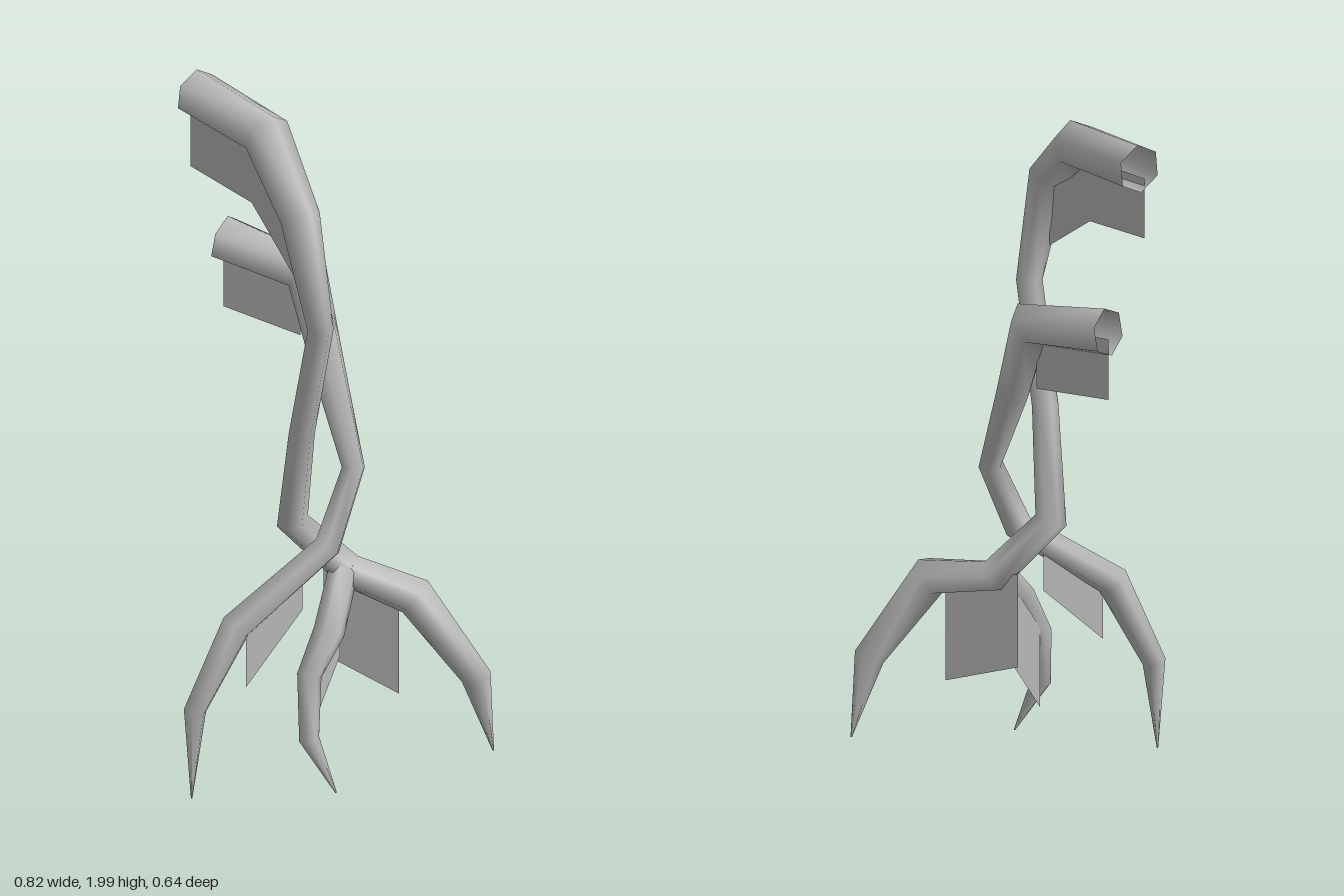
import * as THREE from 'three';

const bark = new THREE.MeshStandardMaterial({ color: 0xb8b8b8, side: THREE.DoubleSide });
bark.name = 'grey bark';

const SIDES = 6;

// Tapered six-sided tube through rows of [x, y, z, radius], open at its ends
function limb(name, rows) {
  const pts = rows.map(r => new THREE.Vector3(r[0], r[1], r[2]));
  const pos = [], index = [];
  const normal = new THREE.Vector3(0, 1, 0);
  const last = new THREE.Vector3();
  pts.forEach((p, i) => {
    const into = i > 0 ? p.clone().sub(pts[i - 1]).normalize() : new THREE.Vector3();
    const out = i < pts.length - 1 ? pts[i + 1].clone().sub(p).normalize() : new THREE.Vector3();
    const tangent = into.add(out).normalize();
    // carry the ring's frame along the path without twist
    if (i > 0) normal.applyQuaternion(new THREE.Quaternion().setFromUnitVectors(last, tangent));
    normal.addScaledVector(tangent, -normal.dot(tangent)).normalize();
    last.copy(tangent);
    const side = tangent.clone().cross(normal);
    for (let k = 0; k < SIDES; k++) {
      const a = (k / SIDES) * Math.PI * 2;
      const v = p.clone()
        .addScaledVector(normal, Math.cos(a) * rows[i][3])
        .addScaledVector(side, Math.sin(a) * rows[i][3]);
      pos.push(v.x, v.y, v.z);
      if (i < pts.length - 1) {
        const b = i * SIDES + k, c = i * SIDES + (k + 1) % SIDES;
        index.push(b, c, b + SIDES, c, c + SIDES, b + SIDES);
      }
    }
  });
  return surface(name, pos, index);
}

// Thin sheet between rows of [x, z, bottomY, topY]
function sheet(name, rows) {
  const pos = [], index = [];
  rows.forEach(([x, z, low, high], i) => {
    pos.push(x, low, z, x, high, z);
    const b = i * 2;
    if (i < rows.length - 1) index.push(b, b + 2, b + 1, b + 2, b + 3, b + 1);
  });
  return surface(name, pos, index);
}

function surface(name, pos, index) {
  const g = new THREE.BufferGeometry();
  g.setAttribute('position', new THREE.Float32BufferAttribute(pos, 3));
  g.setIndex(index);
  g.computeVertexNormals();
  const mesh = new THREE.Mesh(g, bark);
  mesh.name = name;
  return mesh;
}

export function createModel() {
  const model = new THREE.Group();
  model.name = 'twistedVines';

  model.add(
    // Tall vine, winding down into the right-hand root
    limb('tallVine', [
      [-0.40, 1.935, -0.025, 0.068], [-0.12, 1.90, 0.03, 0.068], [0.055, 1.73, 0.115, 0.055],
      [0.105, 1.40, 0.09, 0.036], [0.02, 1.06, 0.06, 0.036], [-0.055, 0.76, 0.0, 0.045],
      [0.05, 0.60, -0.115, 0.048], [0.24, 0.555, -0.16, 0.058], [0.365, 0.31, -0.27, 0.042],
      [0.387, 0.08, -0.318, 0.002],
    ]),
    // Short vine, crossing in front and becoming the front root
    limb('shortVine', [
      [-0.375, 1.472, -0.123, 0.068], [-0.12, 1.425, -0.155, 0.066], [-0.045, 1.20, -0.14, 0.05],
      [0.08, 0.92, -0.095, 0.034], [0.055, 0.71, -0.01, 0.04], [-0.09, 0.515, 0.21, 0.046],
      [-0.172, 0.27, 0.288, 0.032], [-0.178, 0.01, 0.295, 0.002],
    ]),
    // Small middle root
    limb('middleRoot', [
      [0.045, 0.61, -0.10, 0.042], [0.09, 0.48, 0.03, 0.044], [0.06, 0.36, 0.08, 0.034],
      [0.085, 0.19, 0.115, 0.028], [0.15, 0.035, 0.08, 0.002],
    ]),
    // Hanging sheets under the vines and roots
    sheet('tallVineSheet', [
      [-0.40, -0.005, 1.72, 1.90], [-0.17, 0.03, 1.685, 1.87], [0.04, 0.10, 1.52, 1.72],
    ]),
    sheet('shortVineSheet', [[-0.375, -0.123, 1.268, 1.45], [-0.137, -0.15, 1.235, 1.42]]),
    sheet('rightRootSheet', [[-0.02, -0.095, 0.34, 0.62], [0.19, -0.155, 0.255, 0.55]]),
    sheet('frontRootSheet', [[-0.065, 0.20, 0.335, 0.53], [0.0, 0.03, 0.52, 0.67]]),
    sheet('middleRootSheet', [[0.035, 0.055, 0.15, 0.39], [0.05, -0.075, 0.36, 0.60]]),
  );
  return model;
}
